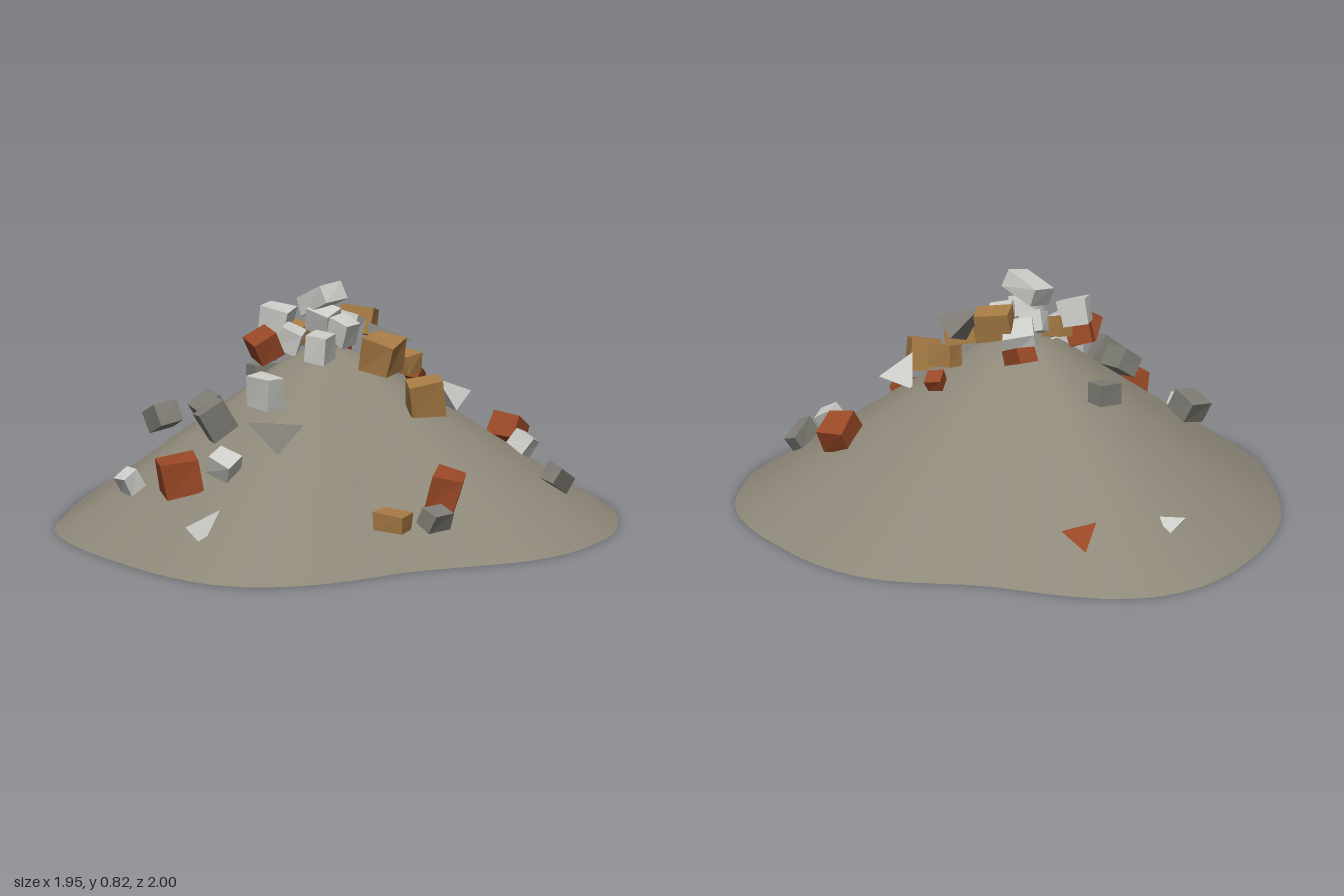
import * as THREE from 'three';

const material = (name, color, flatShading = false) => {
  const m = new THREE.MeshStandardMaterial({ color, flatShading });
  m.name = name;
  return m;
};

// Ground outline (x, z), starting at the back and running round by the left
const OUTLINE = [
  [0.14, -1], [0.28, -0.99], [0.41, -0.94], [0.52, -0.84], [0.6, -0.72], [0.71, -0.51], [0.86, -0.32],
  [0.93, -0.2], [0.97, 0], [0.96, 0.2], [0.93, 0.4], [0.88, 0.55], [0.8, 0.68], [0.7, 0.78],
  [0.56, 0.89], [0.42, 0.95], [0.26, 0.99], [0.14, 0.995], [0, 0.97], [-0.2, 0.9], [-0.33, 0.86],
  [-0.59, 0.82], [-0.72, 0.77], [-0.84, 0.68], [-0.91, 0.56], [-0.95, 0.4], [-0.97, 0.2], [-0.975, 0],
  [-0.95, -0.2], [-0.9, -0.33], [-0.8, -0.45], [-0.59, -0.68], [-0.38, -0.84], [-0.12, -0.95],
];
// Slope section: fraction of the radius, height
const SLOPE = [[0, 0.59], [0.08, 0.58], [0.18, 0.535], [0.3, 0.455], [0.5, 0.325], [0.75, 0.16], [1, 0]];

function moundGeometries() {
  const n = 72;
  const rings = 24;
  const curve = new THREE.CatmullRomCurve3(OUTLINE.map(([x, z]) => new THREE.Vector3(x, 0, z)), true);
  const edge = curve.getSpacedPoints(n).slice(0, n);
  const slope = new THREE.SplineCurve(SLOPE.map(([s, y]) => new THREE.Vector2(s, y)));
  const peakZ = 0.03;
  const pos = [0, SLOPE[0][1], peakZ];
  const index = [];
  for (let k = 1; k <= rings; k++) {
    const { x: s, y } = slope.getPoint(k / rings);
    for (let i = 0; i < n; i++) {
      pos.push(edge[i].x * s, y, peakZ + (edge[i].z - peakZ) * s);
      const j = (i + 1) % n;
      const outer = 1 + (k - 1) * n;
      if (k === 1) {
        index.push(0, outer + j, outer + i);
      } else {
        const inner = outer - n;
        index.push(inner + i, inner + j, outer + j, inner + i, outer + j, outer + i);
      }
    }
  }
  const top = new THREE.BufferGeometry();
  top.setAttribute('position', new THREE.Float32BufferAttribute(pos, 3));
  top.setIndex(index);
  top.computeVertexNormals();

  // Flat underside, turned to face down
  const base = new THREE.ShapeGeometry(new THREE.Shape(edge.map((p) => new THREE.Vector2(p.x, p.z))));
  base.rotateX(Math.PI / 2);
  return { top, base };
}

// Small seeded number generator
let seed = 1;
const random = () => {
  seed = (seed * 16807) % 2147483647;
  return seed / 2147483647;
};

// Chunk: a unit box with each of its eight corners pushed in a little
function chunkGeometry() {
  const g = new THREE.BoxGeometry(1, 1, 1);
  const p = g.attributes.position;
  const corners = Array.from({ length: 8 }, () => [0, 1, 2].map(() => 1 - random() * 0.2));
  for (let i = 0; i < p.count; i++) {
    const c = corners[(p.getX(i) > 0 ? 1 : 0) + (p.getY(i) > 0 ? 2 : 0) + (p.getZ(i) > 0 ? 4 : 0)];
    p.setXYZ(i, p.getX(i) * c[0], p.getY(i) * c[1], p.getZ(i) * c[2]);
  }
  return g;
}

// Rubble by colour: x, y, z, width, height, depth, turn, tilt x, tilt z
const CHUNKS = {
  brick: [
    [-0.7, 0.24, 0.16, 0.14, 0.12, 0.13, -0.45, 0.1, 0.15],
    [-0.21, 0.6, -0.06, 0.1, 0.1, 0.12, -0.2, 0.2, 0.5],
    [-0.13, 0.59, -0.13, 0.08, 0.08, 0.09, 0.6, 0.3, 0.2],
    [0.18, 0.57, -0.14, 0.08, 0.06, 0.12, -0.2, 0.3, 0],
    [0.35, 0.47, 0.1, 0.065, 0.05, 0.06, 0.5, 0.1, -0.5],
    [0.57, 0.28, 0.36, 0.13, 0.1, 0.11, 0.4, 0.1, -0.5],
    [-0.06, 0.2, 0.73, 0.13, 0.13, 0.1, 0.75, 0.25, 0.1],
  ],
  timber: [
    [-0.04, 0.63, -0.1, 0.08, 0.08, 0.09, 0.1, 0.2, 0.2],
    [0.19, 0.67, -0.03, 0.1, 0.11, 0.14, 0.6, 0.1, -0.2],
    [0.07, 0.58, 0.25, 0.14, 0.13, 0.13, 0.5, 0.2, 0.15],
    [0.25, 0.53, 0.16, 0.08, 0.08, 0.11, 0.1, 0.1, 0.1],
    [0.1, 0.455, 0.44, 0.13, 0.13, 0.1, -0.45, 0.2, 0.1],
    [-0.33, 0.15, 0.79, 0.09, 0.06, 0.11, 0.5, 0.1, 0.05],
  ],
  stone: [
    [-0.46, 0.41, -0.03, 0.1, 0.09, 0.12, -0.2, 0.1, 0.6],
    [-0.54, 0.4, 0.13, 0.11, 0.12, 0.07, -0.25, 0.1, 0.6],
    [-0.41, 0.33, -0.4, 0.11, 0.09, 0.11, -0.1, -0.4, 0.1],
    [0, 0.455, -0.37, 0.095, 0.08, 0.08, -0.1, 0, 0.05],
    [0.48, 0.17, 0.7, 0.12, 0.07, 0.065, 0.15, 0.3, -0.5],
    [-0.16, 0.135, 0.8, 0.1, 0.065, 0.07, 0.1, 0.4, 0],
  ],
  concrete: [
    [-0.76, 0.19, -0.06, 0.07, 0.07, 0.07, 0.05, 0, 0.5],
    [-0.61, 0.28, 0.28, 0.08, 0.08, 0.09, 0.5, 0.4, 0.5],
    [-0.36, 0.48, 0.16, 0.08, 0.12, 0.12, 0.1, 0.15, 0.1],
    [-0.15, 0.615, 0.19, 0.12, 0.1, 0.08, 0.6, 0.1, 0.1],
    [-0.09, 0.68, -0.14, 0.11, 0.1, 0.11, 0.6, 0.2, 0.1],
    [-0.1, 0.62, -0.05, 0.1, 0.09, 0.09, 0.8, 0.4, 0.2],
    [0, 0.76, 0, 0.11, 0.07, 0.15, 0.1, -0.4, 0.1],
    [0, 0.69, 0.01, 0.1, 0.09, 0.1, 0.4, 0.3, 0.3],
    [0.06, 0.66, -0.09, 0.08, 0.08, 0.09, 0.5, 0.2, 0.4],
    [0.14, 0.62, -0.1, 0.12, 0.09, 0.12, 0.75, 0.2, -0.4],
    [0.03, 0.65, 0.08, 0.09, 0.09, 0.09, 0.3, 0.4, 0.1],
    [0.09, 0.66, 0.04, 0.08, 0.1, 0.1, 0.4, 0.2, -0.3],
    [0.47, 0.27, 0.54, 0.07, 0.07, 0.08, 0.2, 0.5, -0.4],
  ],
};
const SHARDS = {
  brick: [[0.43, 0.13, -0.67, 0.08, 0.07, 0.08, 0.1, 0.2, -0.1]],
  stone: [
    [-0.42, 0.37, 0.3, 0.12, 0.06, 0.14, 0.2, 0.3, 0.3],
    [0.14, 0.61, 0.2, 0.13, 0.1, 0.13, -0.4, 0.4, 0],
  ],
  concrete: [
    [-0.77, 0.125, 0.41, 0.11, 0.06, 0.05, 0.2, 0.1, 0.5],
    [0.14, 0.13, -0.8, 0.07, 0.05, 0.05, -0.3, 0, 0],
    [0.29, 0.43, 0.36, 0.14, 0.08, 0.1, 0.6, 0.3, -0.2],
  ],
};

export function createModel() {
  seed = 1;
  const model = new THREE.Group();
  model.name = 'rubblePile';

  // Mound of earth
  const earth = material('earth', 0x8e8879);
  const { top, base } = moundGeometries();
  const mound = new THREE.Mesh(top, earth);
  mound.name = 'mound';
  const underside = new THREE.Mesh(base, earth);
  underside.name = 'moundUnderside';
  model.add(mound, underside);

  // Loose rubble
  const materials = {
    brick: material('brick', 0x984826, true),
    timber: material('timber', 0xa67a44, true),
    stone: material('stone', 0x7e7c74, true),
    concrete: material('concrete', 0xcbcbc7, true),
  };
  const scatter = (table, suffix, makeGeometry) => {
    for (const [kind, rows] of Object.entries(table)) {
      for (const [x, y, z, w, h, d, turn, tiltX, tiltZ] of rows) {
        const piece = new THREE.Mesh(makeGeometry(), materials[kind]);
        piece.name = kind + suffix;
        piece.position.set(x, y, z);
        piece.scale.set(w, h, d);
        piece.rotation.set(tiltX, turn, tiltZ, 'YXZ');
        model.add(piece);
      }
    }
  };
  scatter(CHUNKS, 'Chunk', chunkGeometry);
  scatter(SHARDS, 'Shard', () => new THREE.TetrahedronGeometry(Math.sqrt(3) / 2));
  return model;
}
